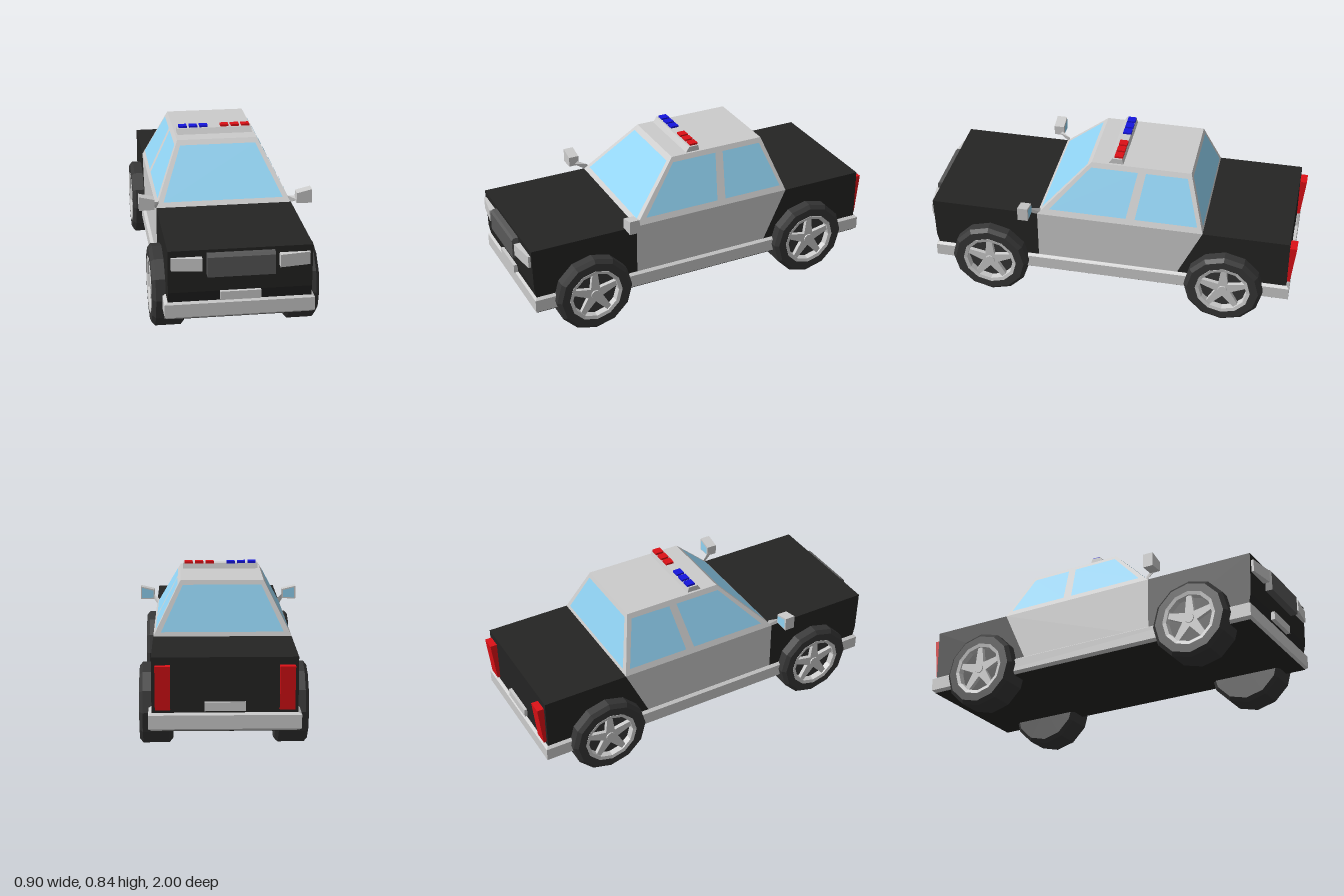
import * as THREE from 'three';
import { ConvexGeometry } from 'three/addons/geometries/ConvexGeometry.js';

const paint = (color, side = THREE.FrontSide) =>
  new THREE.MeshStandardMaterial({ color, flatShading: true, side });
const GREY = paint(0xcccccc), BLACK = paint(0x242423), RUBBER = paint(0x363636), GRILLE = paint(0x585858);
const RED = paint(0xdd1016), BLUE = paint(0x1414dd), GLASS = paint(0x90d2f2, THREE.DoubleSide);

export function createModel() {
  const car = new THREE.Group();
  car.name = 'car';

  const add = (name, geometry, material, parent = car) => {
    const mesh = new THREE.Mesh(geometry, material);
    mesh.name = name;
    parent.add(mesh);
    return mesh;
  };
  // Faceted solid around a few corner points
  const hull = (name, corners, material) =>
    add(name, new ConvexGeometry(corners.map((c) => new THREE.Vector3(...c))), material);
  // Side outline [z, y] swept between two x positions
  const slab = (name, x0, x1, outline, material) =>
    hull(name, outline.flatMap(([z, y]) => [[x0, y, z], [x1, y, z]]), material);
  // Horizontal rectangle used as a cross-section
  const rect = (y, x, z0, z1) => [[-x, y, z0], [x, y, z0], [x, y, z1], [-x, y, z1]];
  const pane = (name, corners) => {
    const g = new THREE.BufferGeometry();
    g.setAttribute('position', new THREE.Float32BufferAttribute(corners.flat(), 3));
    g.setIndex([0, 1, 2, 0, 2, 3]);
    g.computeVertexNormals();
    return add(name, g, GLASS);
  };

  // Lower body: black nose, grey doors, black tail
  const W = 0.355;
  slab('frontBody', -W, W, [[0.38, 0.2], [0.38, 0.52], [0.96, 0.52], [0.955, 0.3], [0.935, 0.2]], BLACK);
  slab('doors', -W, W, [[0.38, 0.2], [0.38, 0.52], [-0.508, 0.52], [-0.36, 0.2]], GREY);
  slab('rearBody', -W, W, [[-0.36, 0.2], [-0.508, 0.52], [-0.965, 0.52], [-0.965, 0.2]], BLACK);

  // Bumper band all around, with bevelled edges, and the floor
  hull('bumperBand', [
    ...rect(0.157, 0.357, 0.945, -0.968), ...rect(0.168, 0.372, 0.957, -0.981),
    ...rect(0.236, 0.372, 0.957, -0.981), ...rect(0.246, 0.357, 0.945, -0.968),
  ], GREY);
  hull('floor', [...rect(0.154, 0.356, 0.944, -0.967), ...rect(0.16, 0.356, 0.944, -0.967)], BLACK);

  // Cabin with tapered pillars
  hull('cabin', [...rect(0.52, W, 0.38, -0.508), ...rect(0.797, 0.215, 0.11, -0.42)], GREY);
  const rise = (y) => (y - 0.52) / 0.277;
  const sideX = (y) => W - 0.14 * rise(y) + 0.003;
  const frontZ = (y) => 0.38 - 0.27 * rise(y) + 0.003;
  const backZ = (y) => -0.508 + 0.088 * rise(y) - 0.003;
  const lo = 0.542, hi = 0.775;
  for (const [name, zAt] of [['windshield', frontZ], ['rearWindow', backZ]])
    pane(name, [[-0.315, lo, zAt(lo)], [0.315, lo, zAt(lo)], [0.202, hi, zAt(hi)], [-0.202, hi, zAt(hi)]]);
  for (const s of [1, -1]) {
    const sideWindow = (name, z0, z1, z2, z3) => pane(name, [
      [s * sideX(0.55), 0.55, z0], [s * sideX(0.55), 0.55, z1],
      [s * sideX(0.773), 0.773, z2], [s * sideX(0.773), 0.773, z3]]);
    sideWindow('frontSideWindow', 0.318, -0.097, -0.14, 0.11);
    sideWindow('rearSideWindow', -0.145, -0.477, -0.403, -0.183);
  }

  // Roof light bar
  slab('lightBar', -0.203, 0.203, [[0.022, 0.795], [0.002, 0.826], [-0.05, 0.826], [-0.058, 0.795]], GREY);
  for (let i = 0; i < 3; i++)
    for (const s of [1, -1]) {
      const lamp = add(s > 0 ? 'redLamp' : 'blueLamp', new THREE.BoxGeometry(0.044, 0.012, 0.044), s > 0 ? RED : BLUE);
      lamp.position.set(s * (0.057 + 0.057 * i), 0.83, -0.03);
    }

  // Grille and number plates
  slab('grille', -0.166, 0.166, [[0.94, 0.505], [0.985, 0.505], [0.995, 0.492], [0.995, 0.39], [0.94, 0.39]], GRILLE);
  for (const [name, z] of [['frontPlate', 0.962], ['rearPlate', -0.97]])
    add(name, new THREE.BoxGeometry(0.2, 0.044, 0.022), GREY).position.set(0, 0.279, z);

  for (const s of [1, -1]) {
    // Headlight angled back towards the fender, wedge-shaped tail light
    hull('headlight', [0.422, 0.487].flatMap((y) => [
      [s * 0.19, y, 0.94], [s * 0.19, y, 0.993], [s * 0.34, y, 0.972], [s * 0.34, y, 0.94]]), GREY);
    slab('tailLight', s * 0.264, s * 0.338, [[-0.95, 0.262], [-0.95, 0.482], [-1.002, 0.482], [-0.98, 0.262]], RED);

    // Door mirror on a slanted stem, glass facing back
    hull('mirrorStem', [
      [s * 0.355, 0.52, 0.38], [s * 0.34, 0.55, 0.365], [s * 0.345, 0.525, 0.36],
      [s * 0.375, 0.542, 0.42], [s * 0.375, 0.568, 0.42], [s * 0.375, 0.552, 0.436]], GREY);
    hull('mirrorHousing', [0.405, 0.46].flatMap((z) => [
      [s * 0.37, 0.542, z], [s * 0.45, 0.54, z], [s * 0.45, 0.615, z], [s * 0.37, 0.596, z]]), GREY);
    pane('mirrorGlass', [
      [s * 0.377, 0.549, 0.402], [s * 0.443, 0.547, 0.402], [s * 0.443, 0.607, 0.402], [s * 0.377, 0.59, 0.402]]);
  }

  // Wheels: outlines are [radius, distance from the car's centre line]
  const turn = (outline) => new THREE.LatheGeometry(outline.map(([r, x]) => new THREE.Vector2(r, x)), 12).rotateZ(-Math.PI / 2);
  const tyre = turn([[0, 0.255], [0.19, 0.255], [0.21, 0.272], [0.21, 0.403], [0.19, 0.42],
    [0.146, 0.42], [0.14, 0.385], [0, 0.385]]);
  const rim = turn([[0.147, 0.395], [0.147, 0.422], [0.128, 0.418], [0.124, 0.386]]);
  const star = new THREE.Shape();
  for (let i = 0; i < 5; i++) {
    const a = Math.PI / 2 + (i * Math.PI * 2) / 5;
    for (const [r, t] of [[0.134, -0.1], [0.134, 0.1], [0.043, Math.PI / 5]]) {
      const x = r * Math.cos(a + t), y = r * Math.sin(a + t);
      if (i === 0 && t === -0.1) star.moveTo(x, y);
      else star.lineTo(x, y);
    }
  }
  const spokes = new THREE.ExtrudeGeometry(star, { depth: 0.022, bevelEnabled: false })
    .rotateY(Math.PI / 2).translate(0.388, 0, 0);
  const hub = turn([[0.028, 0.4], [0.024, 0.415], [0, 0.415]]);
  for (const [place, z] of [['front', 0.642], ['rear', -0.635]])
    for (const side of ['Left', 'Right']) {
      const wheel = new THREE.Group();
      wheel.name = `${place}${side}Wheel`;
      wheel.position.set(0, 0.21, z);
      if (side === 'Right') wheel.rotation.y = Math.PI;
      add('tyre', tyre, RUBBER, wheel);
      add('rim', rim, GREY, wheel);
      add('spokes', spokes, GREY, wheel);
      add('hub', hub, GREY, wheel);
      car.add(wheel);
    }
  return car;
}
